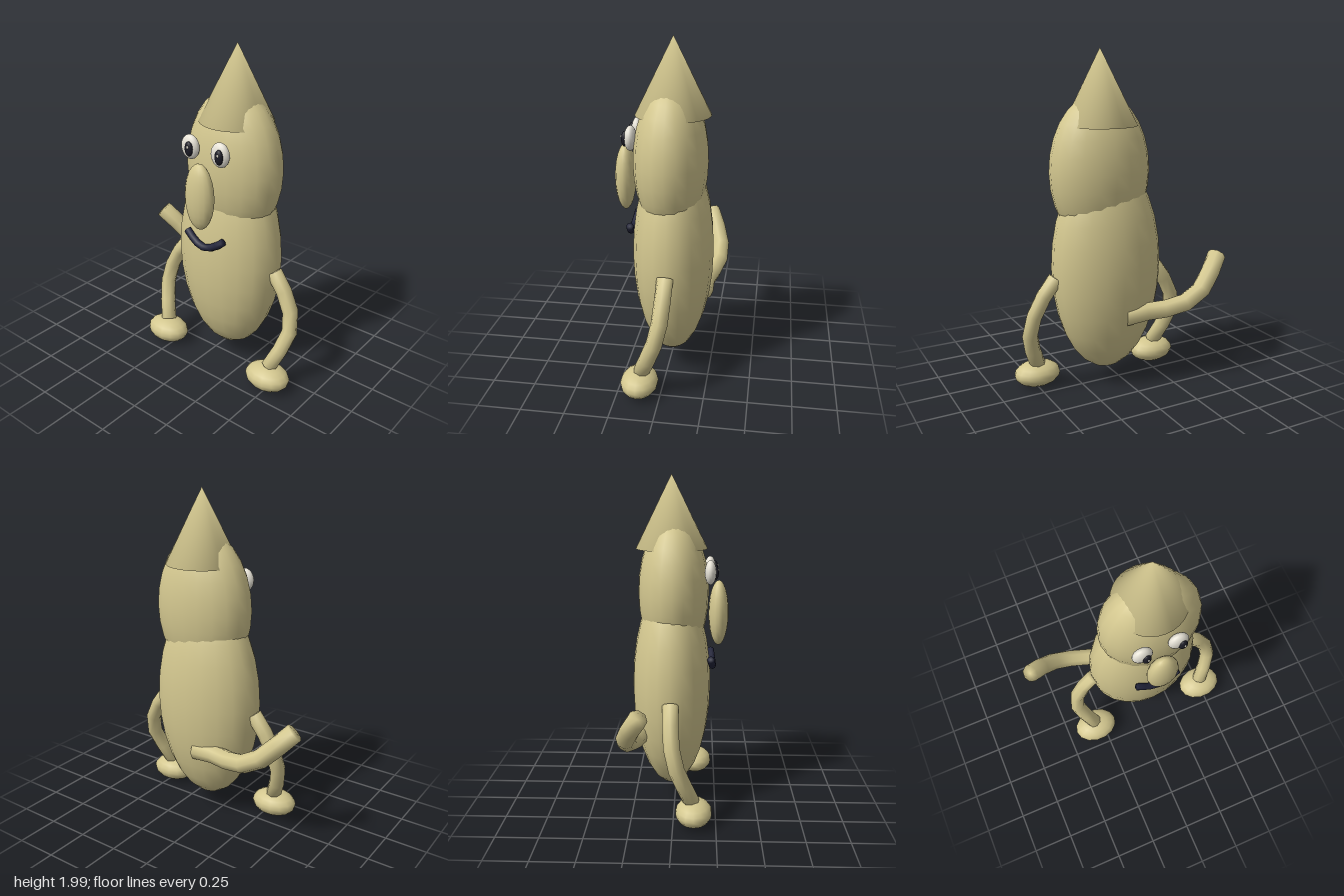
import * as THREE from 'three';
import { mergeVertices } from 'three/addons/utils/BufferGeometryUtils.js';

const CENTER = 0.093; // the body stands slightly to the model's left

// Weld all corners so shading runs smoothly over every edge
function weld(geo) {
  geo.deleteAttribute('uv');
  geo.deleteAttribute('normal');
  const welded = mergeVertices(geo, 1e-4);
  welded.computeVertexNormals();
  return welded;
}

// Capped tube through a few points
function limb(points, radius, steps, sides = 8) {
  const curve = new THREE.CatmullRomCurve3(points.map(p => new THREE.Vector3(...p)));
  const tube = new THREE.TubeGeometry(curve, steps, radius, sides);
  const pos = Array.from(tube.attributes.position.array);
  const index = Array.from(tube.index.array);
  const first = pos.length / 3;
  pos.push(...points[0], ...points[points.length - 1]);
  const end = steps * (sides + 1);
  for (let i = 0; i < sides; i++) {
    index.push(first, i, i + 1, first + 1, end + i + 1, end + i);
  }
  const geo = new THREE.BufferGeometry();
  geo.setAttribute('position', new THREE.Float32BufferAttribute(pos, 3));
  geo.setIndex(index);
  return weld(geo);
}

export function createModel() {
  const model = new THREE.Group();
  const material = (name, color) => new THREE.MeshStandardMaterial({ name, color });
  const skin = material('tan skin', 0xd3c78f);
  const white = material('eye white', 0xe6e2d6);
  const pupilDark = material('pupil dark', 0x1c1c26);
  const mouthDark = material('mouth navy', 0x22243a);

  const add = (name, geo, mat, parent = model) => {
    const mesh = new THREE.Mesh(geo, mat);
    mesh.name = name;
    parent.add(mesh);
    return mesh;
  };
  const ellipsoid = (name, center, radii, mat, parent, w = 16, h = 12) => {
    const mesh = add(name, new THREE.SphereGeometry(1, w, h), mat, parent);
    mesh.position.set(...center);
    mesh.scale.set(...radii);
    return mesh;
  };

  // Body, head and nose
  ellipsoid('body', [CENTER, 0.75, -0.021], [0.34, 0.64, 0.236], skin, model, 20, 14);
  ellipsoid('head', [0.127, 1.31, -0.01], [0.305, 0.445, 0.212], skin, model, 20, 14);
  ellipsoid('nose', [CENTER, 1.19, 0.26], [0.095, 0.197, 0.06], skin);

  // Pointed hat
  const hat = add('hat', weld(new THREE.ConeGeometry(0.213, 0.43, 32)), skin);
  hat.position.set(0.128, 1.785, -0.022);

  // Eyes with pupils and a tiny glint
  for (const [side, x] of [['right', -0.013], ['left', 0.197]]) {
    const eye = new THREE.Group();
    eye.name = side + 'Eye';
    eye.position.set(x, 1.446, 0.208);
    model.add(eye);
    ellipsoid('eyeball', [0, 0, 0], [0.06, 0.071, 0.034], white, eye);
    ellipsoid('pupil', [0.014, -0.002, 0.03], [0.026, 0.043, 0.018], pupilDark, eye);
    ellipsoid('glint', [0.018, 0.012, 0.046], [0.007, 0.009, 0.007], white, eye, 8, 6);
  }

  // Smile
  add('mouth', limb([
    [-0.038, 0.932, 0.215], [0.03, 0.882, 0.224], [CENTER, 0.864, 0.228],
    [0.156, 0.882, 0.224], [0.224, 0.932, 0.215],
  ], 0.022, 6), mouthDark);

  // Bowed legs and oval feet, mirrored about the body
  for (const [side, s] of [['right', -1], ['left', 1]]) {
    const path = [
      [0.325, 0.71, -0.018], [0.425, 0.57, -0.012], [0.475, 0.43, 0.005],
      [0.468, 0.33, 0.04], [0.4, 0.15, 0.11],
    ].map(([x, y, z]) => [CENTER + s * x, y, z]);
    add(side + 'Leg', limb(path, 0.047, 5), skin);
    ellipsoid(side + 'Foot', [CENTER + s * 0.398, 0.085, 0.121], [0.142, 0.077, 0.108], skin, model, 14, 10);
  }

  // Tail curling out to the right
  add('tail', limb([
    [0.06, 0.47, -0.2], [-0.1, 0.48, -0.2], [-0.25, 0.495, -0.245],
    [-0.39, 0.55, -0.262], [-0.49, 0.64, -0.235], [-0.595, 0.755, -0.175],
  ], 0.056, 6), skin);

  return model;
}
